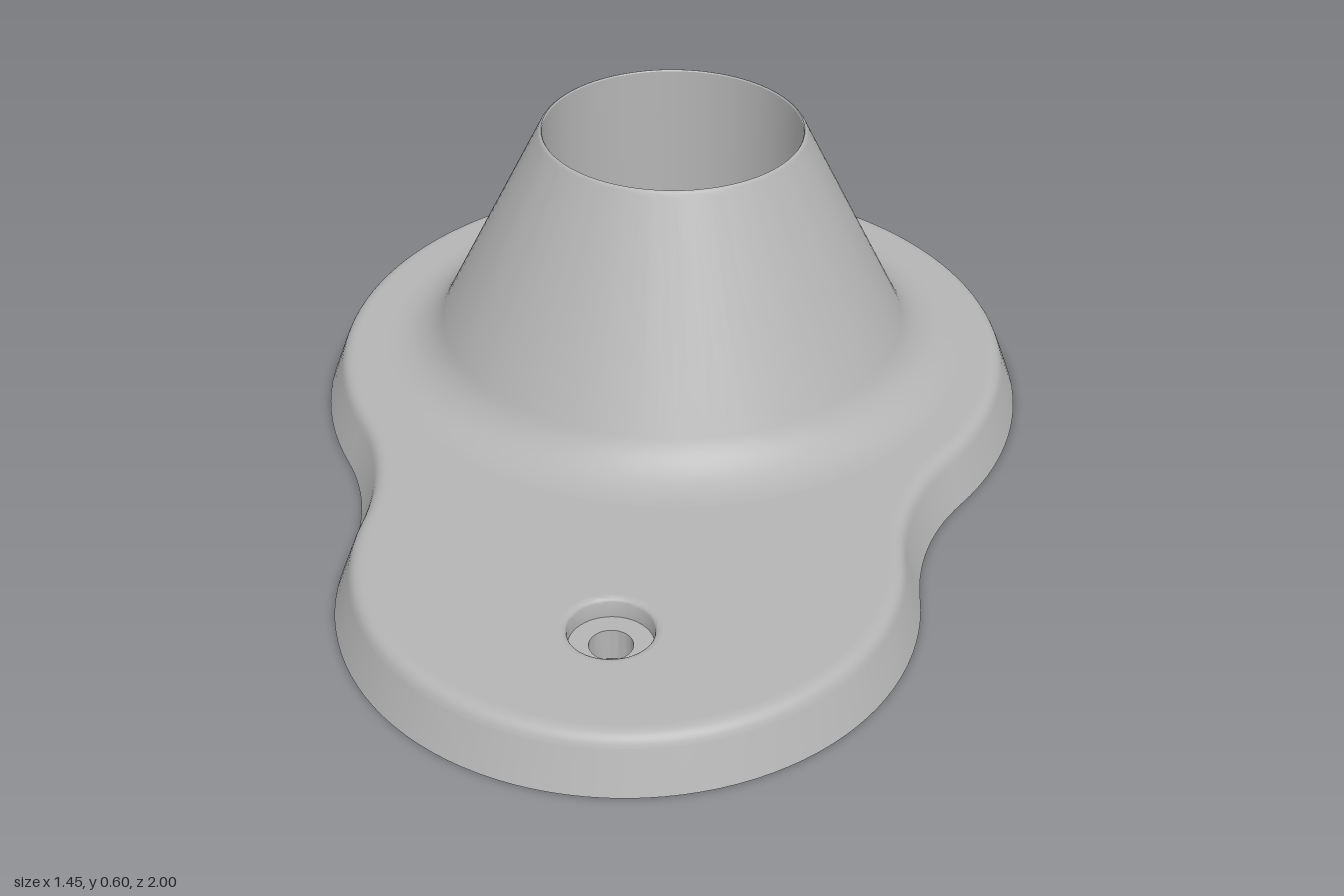
import * as THREE from 'three';
import { toCreasedNormals } from 'three/addons/utils/BufferGeometryUtils.js';

const TOP = 0.105;        // plate thickness
const CUP_Z = -0.275;     // centre of the large lobe and the cup
const SCREW_Z = [CUP_Z, 0.685];

// Plate outline in (x, z): two lobes joined by concave blends, with outward normals
function outline() {
  const R1 = 0.725, R2 = 0.545, RB = 0.5, z2 = 0.455, d = z2 - CUP_Z;
  const along = ((R1 + RB) ** 2 - (R2 + RB) ** 2 + d * d) / (2 * d);
  const bx = Math.sqrt((R1 + RB) ** 2 - along * along), bz = CUP_Z + along;
  const a1 = Math.atan2(along, bx), a2 = Math.atan2(along - d, bx);
  const pts = [];
  const arc = (cx, cz, r, from, to, n, sign) => {
    for (let i = 0; i < n; i++) {
      const a = from + (to - from) * i / n, c = Math.cos(a), s = Math.sin(a);
      pts.push({ x: cx + r * c, z: cz + r * s, nx: sign * c, nz: sign * s });
    }
  };
  arc(0, z2, R2, a2, Math.PI - a2, 56, 1);
  arc(-bx, bz, RB, -a2, -a1, 14, -1);
  arc(0, CUP_Z, R1, Math.PI - a1, 2 * Math.PI + a1, 80, 1);
  arc(bx, bz, RB, Math.PI + a1, Math.PI + a2, 14, -1);
  return pts;
}

// Sloped, rounded rim: the outline is lofted through (inset, height) steps
function rimGeometry(pts, steps) {
  const pos = [], idx = [], n = pts.length;
  for (const s of steps) {
    for (const p of pts) pos.push(p.x - p.nx * s.x, s.y, p.z - p.nz * s.x);
  }
  for (let k = 0; k < steps.length - 1; k++) {
    for (let i = 0; i < n; i++) {
      const a = k * n + i, b = k * n + (i + 1) % n;
      idx.push(a, a + n, b, b, a + n, b + n);
    }
  }
  const g = new THREE.BufferGeometry();
  g.setAttribute('position', new THREE.Float32BufferAttribute(pos, 3));
  g.setIndex(idx);
  g.computeVertexNormals();
  return g;
}

// Flat face of the plate, pierced by the screw holes
function faceGeometry(pts, inset, holeR, up) {
  const s = up ? -1 : 1;
  const shape = new THREE.Shape(pts.map(p =>
    new THREE.Vector2(p.x - p.nx * inset, s * (p.z - p.nz * inset))));
  for (const z of SCREW_Z) {
    shape.holes.push(new THREE.Path().absarc(0, s * z, holeR, 0, Math.PI * 2, true));
  }
  const g = new THREE.ShapeGeometry(shape, 24);
  g.rotateX(s * Math.PI / 2);
  if (up) g.translate(0, TOP, 0);
  return g;
}

const v = (x, y) => new THREE.Vector2(x, y);
const bend = (a, b, c, n) => new THREE.QuadraticBezierCurve(a, b, c).getPoints(n);
const lathe = (pts, seg) => toCreasedNormals(new THREE.LatheGeometry(pts, seg), 0.5);

export function createModel() {
  const group = new THREE.Group();
  const grey = new THREE.MeshStandardMaterial({ color: 0xb4b4b4 });
  grey.name = 'grey';
  const add = (name, geo, z = 0) => {
    const m = new THREE.Mesh(geo, grey);
    m.name = name;
    m.position.z = z;
    group.add(m);
  };

  // Base plate
  const pts = outline();
  const steps = [v(0, 0), v(0.03, 0.081),
    ...bend(v(0.031, 0.083), v(0.039, TOP), v(0.063, TOP), 8), v(0.066, TOP)];
  add('plateRim', rimGeometry(pts, steps));
  add('plateTop', faceGeometry(pts, 0.066, 0.092, true));
  add('plateBottom', faceGeometry(pts, 0, 0.04, false));

  // Counterbored screw holes with a rounded lip
  const hole = [...bend(v(0.092, TOP), v(0.078, TOP), v(0.078, 0.09), 6),
    v(0.078, 0.065), v(0.04, 0.065), v(0.04, 0)];
  SCREW_Z.forEach((z, i) => add(i ? 'frontScrewHole' : 'cupScrewHole', lathe(hole, 48), z));

  // Conical cup: flared foot, sloped wall, thin lip, straight bore
  const cup = [];
  for (let i = 0; i <= 10; i++) {
    const a = -Math.PI / 2 - 1.107 * i / 10;
    cup.push(v(0.6 + 0.135 * Math.cos(a), TOP + 0.135 + 0.135 * Math.sin(a)));
  }
  cup.push(...bend(v(0.273, 0.592), v(0.268, 0.603), v(0.264, 0.603), 4),
    v(0.262, 0.6), v(0.262, TOP));
  add('cup', lathe(cup, 96), CUP_Z);

  return group;
}
